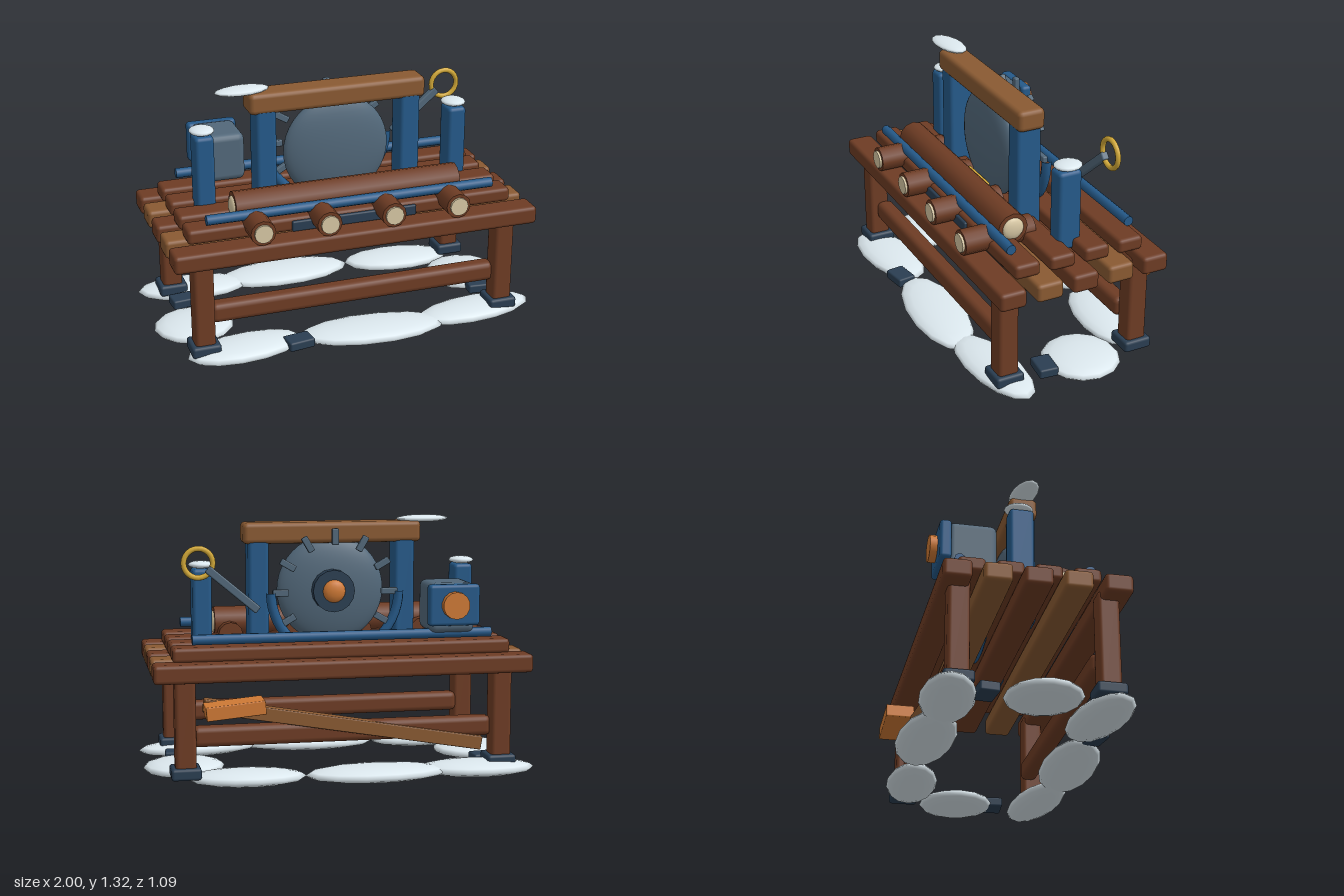
import * as THREE from 'three';
import { RoundedBoxGeometry } from 'three/addons/geometries/RoundedBoxGeometry.js';

const mat = (color) => new THREE.MeshStandardMaterial({ color });

export function createModel() {
  const model = new THREE.Group();
  const wood = mat(0x6e3c24), paleWood = mat(0x8a5a32), blue = mat(0x255a8a), navy = mat(0x2a3e52);
  const steel = mat(0x52687a), orange = mat(0xd07a35), brass = mat(0xd4aa38), cream = mat(0xd8c8a4), snow = mat(0xdce8ee);

  const add = (name, geometry, material, x, y, z) => {
    const mesh = new THREE.Mesh(geometry, material);
    mesh.name = name;
    mesh.position.set(x, y, z);
    model.add(mesh);
    return mesh;
  };
  const box = (name, material, w, h, d, x, y, z, r = 0.02) =>
    add(name, new RoundedBoxGeometry(w, h, d, 2, Math.min(r, w / 2.1, h / 2.1, d / 2.1)), material, x, y, z);
  // Cylinder lying along x or z
  const rod = (name, material, axis, r, length, x, y, z, sides = 12) => {
    const g = new THREE.CylinderGeometry(r, r, length, sides);
    if (axis === 'x') g.rotateZ(Math.PI / 2); else g.rotateX(Math.PI / 2);
    return add(name, g, material, x, y, z);
  };
  const blob = (name, material, rx, ry, rz, x, y, z, turn = 0) => {
    const mesh = add(name, new THREE.SphereGeometry(1, 14, 8), material, x, y, z);
    mesh.scale.set(rx, ry, rz);
    mesh.rotation.y = turn;
    return mesh;
  };

  // Table top: two staggered layers of planks
  [0.385, 0.19, -0.003, -0.197, -0.39].forEach((z, i) =>
    box('lowerPlank', i % 2 ? paleWood : wood, 1.93, 0.095, 0.14, 0, 0.588, z));
  [0.26, 0.07, -0.118, -0.305].forEach((z) => box('upperPlank', wood, 1.73, 0.075, 0.135, 0, 0.668, z));

  // Legs, feet and stretchers
  for (const z of [0.357, -0.365]) {
    for (const x of [-0.812, 0.808]) {
      box('leg', wood, 0.105, 0.53, 0.108, x, 0.325, z);
      box('foot', navy, 0.15, 0.06, 0.15, x, 0.082, z, 0.015);
    }
    box('stretcher', wood, 1.54, 0.105, 0.09, 0, 0.255, z > 0 ? 0.33 : -0.335, 0.03);
  }
  box('diagonalBrace', paleWood, 1.45, 0.07, 0.07, 0, 0.293, -0.36, 0.006).rotation.z = 0.172;
  box('wedgeBlock', orange, 0.295, 0.07, 0.15, 0.57, 0.413, -0.452, 0.006).rotation.z = -0.09;

  // Snow drifts on the ground: x, z, radius x, radius z, turn
  [
    [0.67, 0.35, 0.33, 0.13, 0.1], [0.08, 0.39, 0.39, 0.15, -0.08], [-0.6, 0.37, 0.31, 0.14, 0.1],
    [-0.79, 0.05, 0.21, 0.19, 0], [-0.69, -0.385, 0.3, 0.135, -0.1], [-0.16, -0.4, 0.37, 0.147, 0],
    [0.5, -0.37, 0.3, 0.135, -0.08], [0.79, -0.08, 0.21, 0.2, 0],
  ].forEach(([x, z, rx, rz, turn]) => blob('snowDrift', snow, rx, 0.043, rz, x, 0.043, z, turn));
  [[-0.33, 0.42, 0.15], [0.8, 0.13, -0.1], [-0.78, -0.22, 0.1]].forEach(([x, z, turn]) => {
    box('groundStone', navy, 0.14, 0.05, 0.1, x, 0.055, z, 0.01).rotation.y = turn;
  });

  // Posts and crossbeam with snow caps
  for (const x of [-0.69, 0.685]) {
    box('outerPost', blue, 0.1, 0.42, 0.125, x, 0.857, -0.035);
    blob('postSnow', snow, 0.065, 0.02, 0.073, x, 1.085, -0.042);
  }
  for (const x of [-0.388, 0.385]) box('innerPost', blue, 0.108, 0.61, 0.135, x, 0.905, 0.034);
  box('crossbeam', paleWood, 0.94, 0.11, 0.146, -0.005, 1.237, 0.033, 0.025);
  blob('beamSnow', snow, 0.145, 0.02, 0.068, -0.495, 1.3, 0.03, 0.1);

  // Wheel with hub, loose teeth and lower guard
  const wheelY = 0.937;
  const wheel = add('wheel', new THREE.SphereGeometry(1, 36, 20), steel, 0, wheelY, 0.03);
  wheel.scale.set(0.283, 0.283, 0.07);
  rod('hub', navy, 'z', 0.11, 0.07, 0, wheelY, -0.056, 16);
  blob('hubCap', orange, 0.06, 0.06, 0.028, 0, wheelY, -0.09);
  for (let i = 0; i < 12; i++) {
    const a = (i * Math.PI) / 6;
    box('tooth', steel, 0.085, 0.035, 0.028, 0.285 * Math.cos(a), wheelY + 0.285 * Math.sin(a), -0.117, 0.006)
      .rotation.z = a;
  }
  const guard = add('lowerGuard', new THREE.TorusGeometry(0.335, 0.026, 8, 28, Math.PI), blue, 0, wheelY, -0.118);
  guard.rotation.z = Math.PI;
  box('brassPlate', brass, 0.23, 0.05, 0.04, 0, 0.735, 0.11, 0.006);
  box('frontPlate', navy, 0.665, 0.055, 0.06, 0, 0.662, 0.312, 0.008);

  // Long log lying across short logs
  rod('longLog', wood, 'x', 0.08, 1.2, -0.003, 0.755, 0.205);
  for (const s of [-1, 1]) blob('longLogEnd', cream, 0.022, 0.058, 0.058, s * 0.598 - 0.003, 0.755, 0.205);
  for (const x of [-0.515, -0.172, 0.17, 0.52]) {
    rod('shortLog', wood, 'z', 0.065, 0.38, x, 0.7, 0.26);
    rod('shortLogEnd', cream, 'z', 0.048, 0.02, x, 0.7, 0.452);
  }

  // Guide rails
  for (const z of [0.3, -0.348]) rod('guideRail', blue, 'x', 0.026, 1.53, 0, 0.743, z, 10);

  // Motor housing
  box('motorBody', steel, 0.235, 0.255, 0.25, -0.552, 0.873, -0.267, 0.035);
  box('motorPlate', blue, 0.265, 0.21, 0.06, -0.552, 0.893, -0.403, 0.018);
  rod('motorCap', orange, 'z', 0.069, 0.05, -0.552, 0.895, -0.445, 14);

  // Lever with ring handle
  box('lever', steel, 0.33, 0.042, 0.038, 0.548, 0.977, -0.255, 0.008).rotation.z = 0.7;
  add('ringHandle', new THREE.TorusGeometry(0.073, 0.014, 8, 24), brass, 0.72, 1.113, -0.255);

  return model;
}
